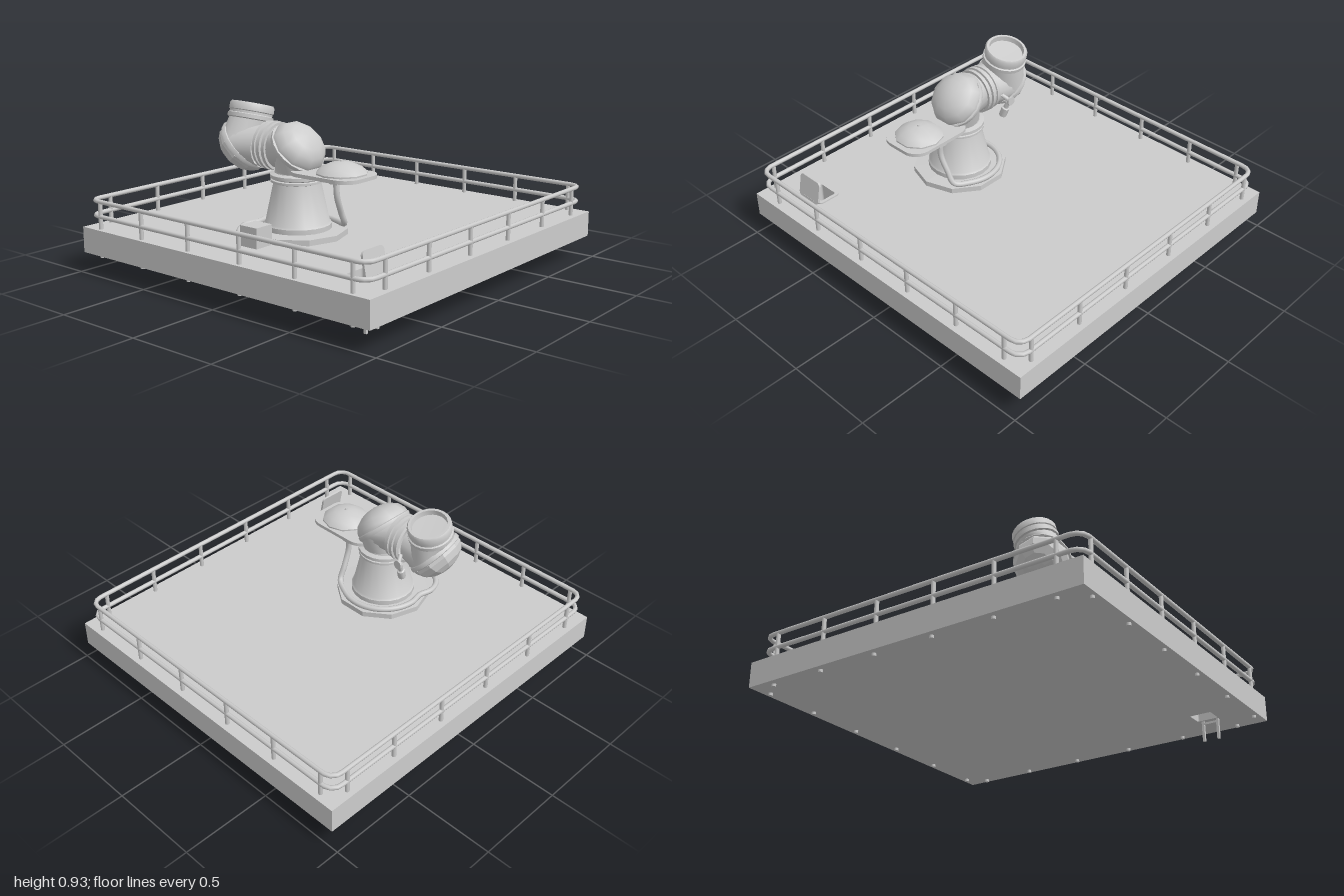
import * as THREE from 'three';
import { toCreasedNormals } from 'three/addons/utils/BufferGeometryUtils.js';

const V = (x, y, z) => new THREE.Vector3(x, y, z);
const grey = new THREE.MeshStandardMaterial({ color: 0xcccccc, side: THREE.DoubleSide });
const faceted = new THREE.MeshStandardMaterial({ color: 0xcccccc, side: THREE.DoubleSide, flatShading: true });
const UP = V(0, 1, 0);

function add(parent, name, geometry, material = grey) {
  const mesh = new THREE.Mesh(geometry, material);
  mesh.name = name;
  parent.add(mesh);
  return mesh;
}

function box(parent, name, w, h, d, x, y, z) {
  const mesh = add(parent, name, new THREE.BoxGeometry(w, h, d));
  mesh.position.set(x, y, z);
  return mesh;
}

// Turned part: profile of [radius, height], placed at a point along an axis
function turned(parent, name, profile, sides, at, axis = UP, material = grey) {
  let g = new THREE.LatheGeometry(profile.map(p => new THREE.Vector2(p[0], p[1])), sides);
  if (material === grey) g = toCreasedNormals(g, 0.75);
  const mesh = add(parent, name, g, material);
  mesh.position.copy(at);
  mesh.quaternion.setFromUnitVectors(UP, axis);
  return mesh;
}

function tube(parent, name, points, radius, segments = 40) {
  return add(parent, name, new THREE.TubeGeometry(new THREE.CatmullRomCurve3(points), segments, radius, 8));
}

// Surface between circles { c: centre, n: normal, r: radius } that share one cross direction
function loft(rings, u, sides = 20) {
  const pos = [], idx = [];
  rings.forEach(({ c, n, r }, i) => {
    const v = n.clone().cross(u);
    for (let j = 0; j < sides; j++) {
      const a = (j / sides) * Math.PI * 2;
      const p = c.clone().addScaledVector(u, r * Math.cos(a)).addScaledVector(v, r * Math.sin(a));
      pos.push(p.x, p.y, p.z);
      if (i) {
        const k = (j + 1) % sides, lo = (i - 1) * sides, hi = i * sides;
        idx.push(lo + j, lo + k, hi + j, lo + k, hi + k, hi + j);
      }
    }
  });
  const g = new THREE.BufferGeometry();
  g.setAttribute('position', new THREE.Float32BufferAttribute(pos, 3));
  g.setIndex(idx);
  g.computeVertexNormals();
  return g;
}

// Two necks meeting a slanted, domed cover
function elbow(parent, name, c, dirIn, lenIn, dirOut, lenOut, r, coverR, domeMaterial) {
  const group = new THREE.Group();
  group.name = name;
  parent.add(group);
  const axis = dirIn.clone().sub(dirOut).normalize();
  const u = dirIn.clone().cross(dirOut).normalize();
  const cover = { c, n: axis, r: coverR };
  const back = dirOut.clone().negate();
  add(group, 'inletNeck', loft([{ c: c.clone().addScaledVector(dirIn, -lenIn), n: dirIn, r }, cover], u));
  add(group, 'outletNeck', loft([{ c: c.clone().addScaledVector(dirOut, lenOut), n: back, r }, cover], u));
  turned(group, 'coverFlange', [[0, -0.012], [0.152, -0.012], [0.157, 0], [0.157, 0.012], [0.148, 0.016]], 20, c, axis);
  turned(group, 'coverDome', [[0.152, 0.016], [0.15, 0.035], [0.128, 0.072], [0.085, 0.1], [0.04, 0.113], [0, 0.117]],
    10, c, axis, domeMaterial);
}

function roundedRect(x0, x1, y0, y1, r, Type = THREE.Shape) {
  const s = new Type();
  s.moveTo(x0 + r, y0);
  s.lineTo(x1 - r, y0); s.absarc(x1 - r, y0 + r, r, -Math.PI / 2, 0);
  s.lineTo(x1, y1 - r); s.absarc(x1 - r, y1 - r, r, 0, Math.PI / 2);
  s.lineTo(x0 + r, y1); s.absarc(x0 + r, y1 - r, r, Math.PI / 2, Math.PI);
  s.lineTo(x0, y0 + r); s.absarc(x0 + r, y0 + r, r, Math.PI, Math.PI * 1.5);
  return s;
}

// Flat plate: shape (x, -z) raised by a thickness from height y
function plate(parent, name, shape, y, thickness) {
  const g = new THREE.ExtrudeGeometry(shape, { depth: thickness, bevelEnabled: false, curveSegments: 8 });
  g.rotateX(-Math.PI / 2).translate(0, y, 0);
  return add(parent, name, g);
}

function buildDeck(root) {
  const deck = new THREE.Shape([[-0.965, -1], [0.965, -1], [0.965, 1], [-0.965, 1]].map(p => new THREE.Vector2(...p)));
  deck.holes.push(roundedRect(0.668, 0.765, -0.8, -0.68, 0.01, THREE.Path));
  plate(root, 'deck', deck, 0.115, 0.14);

  // Railing
  const railing = new THREE.Group();
  railing.name = 'railing';
  root.add(railing);
  const X = 0.926, Z0 = -0.96, Z1 = 0.972;
  const outline = roundedRect(-X, X, -Z1, -Z0, 0.06).getPoints(6).map(p => V(p.x, 0, -p.y));
  const path = new THREE.CurvePath();
  outline.forEach((p, i) => {
    const q = outline[(i + 1) % outline.length];
    if (p.distanceTo(q) > 1e-4) path.add(new THREE.LineCurve3(p, q));
  });
  for (const y of [0.403, 0.322]) {
    add(railing, 'rail', new THREE.TubeGeometry(path, 240, 0.0125, 8, true)).position.y = y;
  }
  const post = (x, z) => {
    const m = add(railing, 'post', new THREE.CylinderGeometry(0.0115, 0.0115, 0.3, 8));
    m.position.set(x, 0.25, z);
  };
  for (const x of [-0.85, -0.53, -0.19, 0.16, 0.51, 0.85]) [Z0, Z1].forEach(z => post(x, z));
  for (const z of [-0.86, -0.54, -0.195, 0.155, 0.505, 0.84]) [-X, X].forEach(x => post(x, z));

  // Hatch with open lid, and ladder below
  const rim = roundedRect(0.652, 0.785, -0.818, -0.662, 0.02);
  rim.holes.push(roundedRect(0.668, 0.765, -0.8, -0.68, 0.01, THREE.Path));
  plate(root, 'hatchRim', rim, 0.255, 0.008);
  const lid = add(root, 'hatchLid', new THREE.ExtrudeGeometry(roundedRect(-0.08, 0.08, 0, 0.135, 0.022),
    { depth: 0.012, bevelEnabled: false }));
  lid.rotation.set(0, Math.PI / 2, 0.2, 'ZYX');
  lid.position.set(0.795, 0.26, 0.74);
  box(root, 'hatchHinge', 0.02, 0.02, 0.08, 0.795, 0.265, 0.74);
  for (const z of [0.705, 0.79]) box(root, 'ladderRail', 0.014, 0.255, 0.014, 0.78, 0.1275, z);
  for (const y of [0.1, 0.18]) box(root, 'ladderRung', 0.012, 0.012, 0.085, 0.78, y, 0.7475);
}

function buildTurret(root) {
  const turret = new THREE.Group();
  turret.name = 'turret';
  root.add(turret);
  const cx = 0.005, cz = 0.375;

  // Pedestal
  const foot = turned(turret, 'footPlate', [[0, 0], [0.262, 0], [0.262, 0.03], [0.17, 0.035], [0, 0.035]], 10,
    V(cx, 0.255, cz), UP, faceted);
  foot.rotation.y = Math.PI / 10;
  turned(turret, 'pedestal', [[0.178, 0], [0.178, 0.03], [0.168, 0.04], [0.124, 0.245], [0.14, 0.25], [0.14, 0.262],
    [0.13, 0.266], [0.142, 0.272], [0.142, 0.29], [0.118, 0.298], [0.112, 0.32]], 20, V(cx, 0.285, cz));

  // Lower elbow, collars, upper elbow
  const left = V(-1, 0, 0), out = V(0, 0.965, -0.262).normalize();
  elbow(turret, 'lowerElbow', V(cx, 0.7, cz), UP, 0.13, left, 0.12, 0.113, 0.146, grey);
  turned(turret, 'collars', [[0.113, 0], [0.127, 0], [0.127, 0.02], [0.116, 0.022], [0.116, 0.03], [0.13, 0.032],
    [0.13, 0.052], [0.118, 0.054], [0.118, 0.066], [0.127, 0.068], [0.127, 0.084], [0.113, 0.09]], 24,
    V(-0.112, 0.7, cz), left);
  const c = V(-0.34, 0.69, 0.393);
  elbow(turret, 'upperElbow', c, left, 0.14, out, 0.13, 0.113, 0.146, faceted);

  // Open muzzle ring
  turned(turret, 'muzzle', [[0.11, 0], [0.122, 0.006], [0.122, 0.026], [0.114, 0.03], [0.114, 0.042], [0.119, 0.046],
    [0.119, 0.078], [0.112, 0.088], [0.098, 0.088], [0.094, 0.06], [0, 0.056]], 24,
    c.clone().addScaledVector(out, 0.128), out);

  // Side valve
  turned(turret, 'valve', [[0, -0.03], [0.022, -0.03], [0.022, 0.025], [0.014, 0.03], [0.014, 0.07], [0, 0.075]], 10,
    V(-0.235, 0.57, 0.255), V(-0.1, 0.9, -0.3).normalize());
  tube(turret, 'valvePipe', [V(-0.235, 0.61, 0.24), V(-0.24, 0.65, 0.225), V(-0.22, 0.68, 0.26)], 0.012, 12);
  turned(turret, 'valveWheel', [[0, 0], [0.026, 0], [0.026, 0.012], [0, 0.012]], 10, V(-0.245, 0.65, 0.22), V(0, 0, -1));

  // Side platform with domed cover
  const shelf = roundedRect(0.04, 0.457, -0.52, -0.23, 0.09);
  plate(turret, 'sidePlatform', shelf, 0.593, 0.019);
  turned(turret, 'platformDome', [[0.133, 0], [0.133, 0.01], [0.105, 0.036], [0.06, 0.056], [0.02, 0.063], [0.008, 0.064],
    [0.006, 0.072], [0, 0.073]], 10, V(0.3, 0.61, cz));
  box(turret, 'platformSocket', 0.05, 0.06, 0.05, 0.21, 0.565, 0.31);

  // Cable from the socket, round the back of the foot, into the junction box
  const cable = [V(0.21, 0.55, 0.31), V(0.212, 0.47, 0.305), V(0.205, 0.38, 0.265), V(0.195, 0.31, 0.225)];
  for (let a = 60; a <= 200; a += 20) {
    const t = THREE.MathUtils.degToRad(a);
    cable.push(V(cx + 0.225 * Math.cos(t), 0.297, cz - 0.225 * Math.sin(t)));
  }
  cable.push(V(-0.22, 0.295, 0.53), V(-0.19, 0.285, 0.61), V(-0.13, 0.28, 0.665), V(-0.04, 0.28, 0.685));
  tube(turret, 'cable', cable, 0.016, 90);
  box(turret, 'junctionBox', 0.112, 0.107, 0.112, -0.003, 0.3085, 0.682);
}

export function createModel() {
  const root = new THREE.Group();
  root.name = 'turretPlatform';
  buildDeck(root);
  buildTurret(root);
  return root;
}
